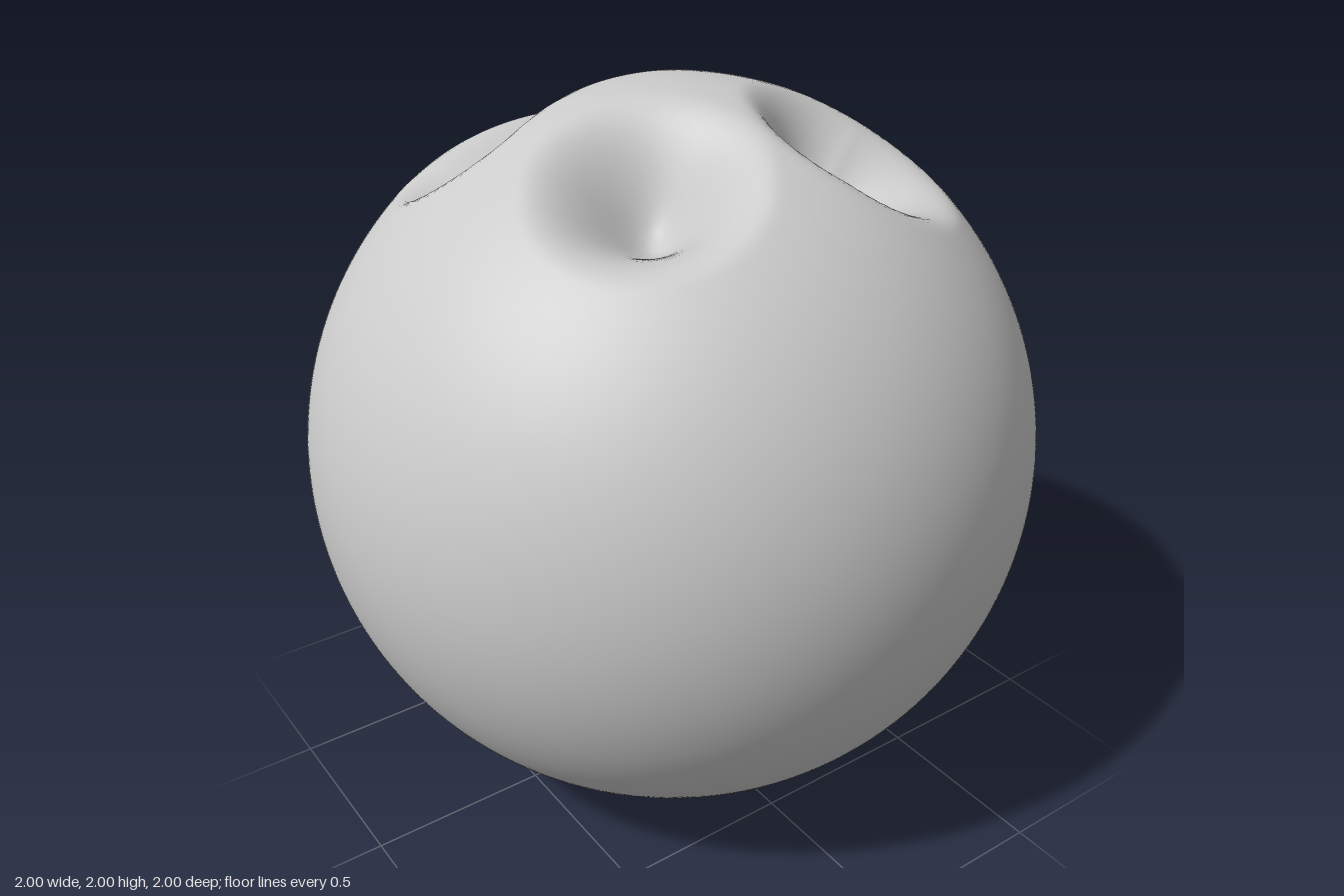
import * as THREE from 'three';
import { mergeVertices } from 'three/addons/utils/BufferGeometryUtils.js';

// Point on the upper half of the unit sphere above (x, z)
const onSphere = (x, z) => new THREE.Vector3(x, Math.sqrt(1 - x * x - z * z), z);

// Brush strokes pressed into the ball: sampled centre line, radius, depth
const mouthPath = new THREE.CatmullRomCurve3([
  onSphere(-0.43, -0.33),
  onSphere(-0.22, -0.39),
  onSphere(0.02, -0.415),
  onSphere(0.3, -0.39),
  onSphere(0.52, -0.31),
]);
const dents = [
  { points: mouthPath.getPoints(40).map((p) => p.normalize()), radius: 0.25, depth: 0.23 },
  { points: [onSphere(-0.3, 0.32), onSphere(-0.28, 0.29)], radius: 0.31, depth: 0.25 },
  { points: [onSphere(0.37, 0.34), onSphere(0.34, 0.31)], radius: 0.31, depth: 0.25 },
];

// Total inward push at a point of the unit sphere
function pushAt(p) {
  let push = 0;
  for (const { points, radius, depth } of dents) {
    const distance = Math.min(...points.map((q) => q.distanceTo(p)));
    push += depth * (1 - THREE.MathUtils.smoothstep(distance, 0, radius));
  }
  return push;
}

export function createModel() {
  // Evenly gridded cube, rounded into a sphere and dented
  let geometry = new THREE.BoxGeometry(2, 2, 2, 72, 72, 72);
  geometry.deleteAttribute('uv');
  geometry.deleteAttribute('normal');
  geometry.clearGroups();
  geometry = mergeVertices(geometry, 1e-4);

  const position = geometry.attributes.position;
  const p = new THREE.Vector3();
  const even = (v) => Math.tan((v * Math.PI) / 4);
  for (let i = 0; i < position.count; i++) {
    p.fromBufferAttribute(position, i);
    p.set(even(p.x), even(p.y), even(p.z)).normalize();
    if (p.y > 0.5) p.multiplyScalar(1 - pushAt(p));
    position.setXYZ(i, p.x, p.y + 1, p.z);
  }
  geometry.computeVertexNormals();

  const ball = new THREE.Mesh(geometry, new THREE.MeshStandardMaterial({ color: 0xcccccc }));
  ball.name = 'dentedBall';

  const model = new THREE.Group();
  model.name = 'faceBall';
  model.add(ball);
  return model;
}
